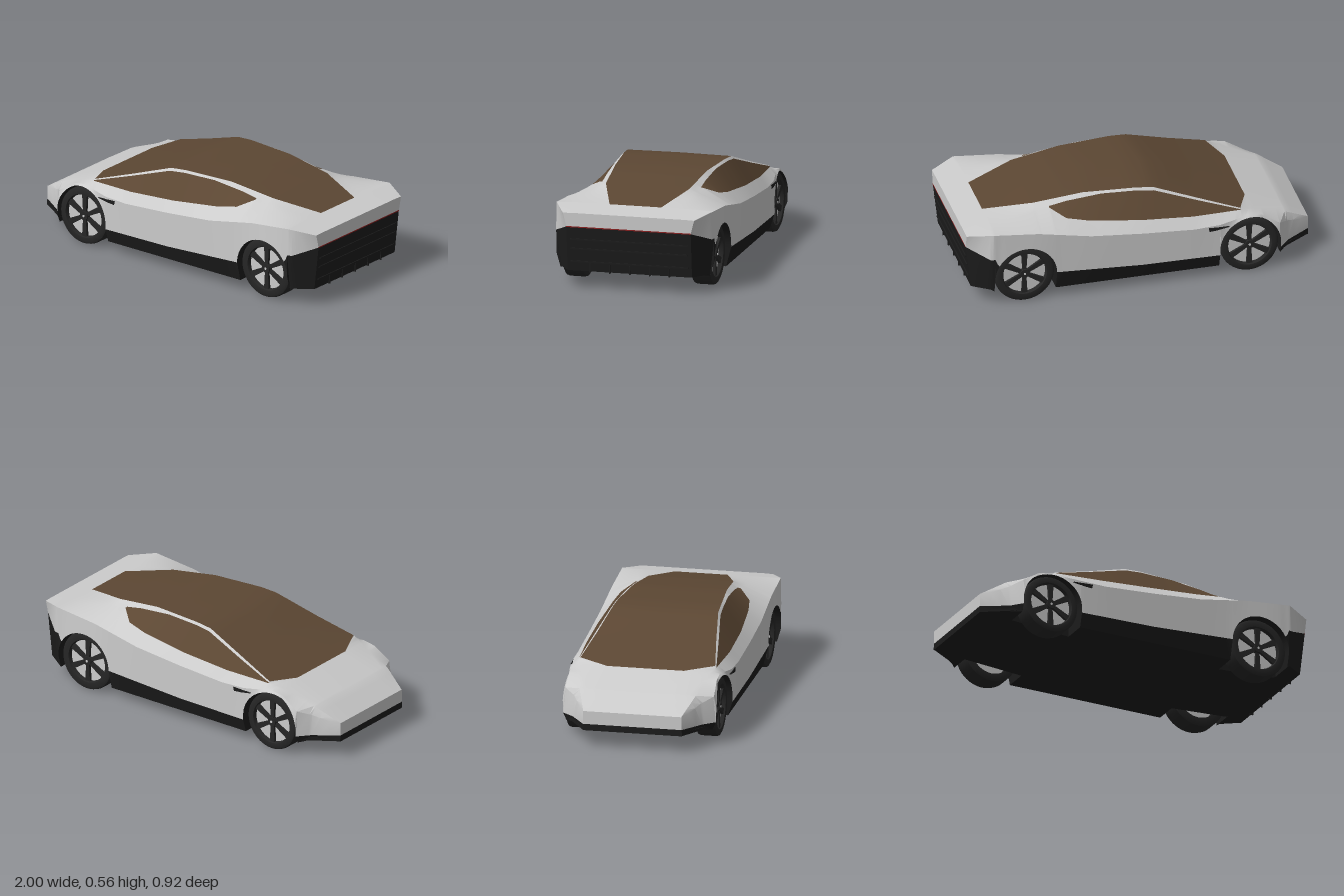
import * as THREE from 'three';
import { mergeGeometries, toCreasedNormals } from 'three/addons/utils/BufferGeometryUtils.js';

const silver = new THREE.MeshStandardMaterial({ color: 0xcccccc });
const glass = new THREE.MeshStandardMaterial({ color: 0x5c4733 });
const black = new THREE.MeshStandardMaterial({ color: 0x1c1c1c });
const rubber = new THREE.MeshStandardMaterial({ color: 0x262626 });
const red = new THREE.MeshStandardMaterial({ color: 0x8a2020 });

// Long lines of the body, each as [x, half width z, height y]; the nose is at -x
const LINES = {
  centre: [[-1, 0, .21], [-.86, 0, .295], [-.65, 0, .37], [-.4, 0, .455], [-.2, 0, .525], [-.1, 0, .55], [0, 0, .56],
    [.2, 0, .56], [.4, 0, .545], [.58, 0, .518], [.85, 0, .463], [1, 0, .437]],
  glassEdge: [[-1, .18, .21], [-.86, .2, .295], [-.65, .22, .37], [-.58, .385, .388], [-.35, .342, .462], [-.1, .3, .547],
    [0, .293, .555], [.3, .265, .553], [.58, .243, .515], [.85, .15, .463], [1, .15, .437]],
  rail: [[-1, .25, .21], [-.86, .29, .295], [-.65, .365, .363], [-.58, .392, .383], [-.35, .355, .453], [-.1, .313, .533],
    [0, .306, .543], [.2, .292, .545], [.4, .286, .524], [.5, .285, .505], [.58, .275, .5], [.85, .25, .463], [1, .25, .437]],
  belt: [[-1, .28, .21], [-.86, .33, .29], [-.65, .38, .36], [-.58, .394, .38], [-.3, .41, .387], [0, .408, .408],
    [.3, .388, .44], [.42, .368, .462], [.5, .3, .503], [.58, .3, .492], [.85, .36, .463], [1, .33, .437]],
  shoulder: [[-1, .282, .2], [-.86, .36, .25], [-.8, .425, .28], [-.7, .42, .345], [-.625, .42, .357], [-.45, .453, .335],
    [-.3, .458, .33], [0, .46, .35], [.3, .46, .378], [.6, .455, .435], [.86, .453, .461], [1, .38, .435]],
  panelEdge: [[-1, .282, .135], [-.86, .37, .13], [-.8, .44, .13], [-.7, .425, .14], [-.45, .455, .14], [0, .458, .147],
    [.5, .46, .175], [.8, .46, .18], [.853, .457, .305], [.88, .452, .305], [1, .36, .357]],
  sill: [[-1, .285, .1], [-.86, .36, .1], [-.8, .42, .085], [-.45, .43, .06], [.5, .43, .06], [.84, .435, .08],
    [.87, .43, .1], [1, .36, .1]],
};
const NAMES = Object.keys(LINES);
const WHEELS = [{ x: -.625, r: .167 }, { x: .675, r: .172 }];
const ARCH = .178;

function at(line, x) {
  let i = 1;
  while (i < line.length - 1 && line[i][0] < x) i++;
  const a = line[i - 1], b = line[i], t = (x - a[0]) / (b[0] - a[0]);
  return [a[1] + (b[1] - a[1]) * t, a[2] + (b[2] - a[2]) * t];
}

// Half cross-section from the roof centre round to the floor centre, cut by the wheel arches
function section(x) {
  const pts = NAMES.map((n) => new THREE.Vector3(x, at(LINES[n], x)[1], at(LINES[n], x)[0]));
  const low = pts[6];
  if (x > .87) low.x = .87 + (x - .87) * .77;
  const floorY = low.y, innerZ = Math.min(.29, low.z);
  for (const w of WHEELS) {
    const d = x - w.x;
    if (Math.abs(d) >= ARCH) continue;
    const y = w.r + Math.sqrt(ARCH * ARCH - d * d);
    pts[5].y = Math.max(pts[5].y, y);
    low.y = Math.max(low.y, y);
    low.z = pts[5].z;
  }
  pts.push(new THREE.Vector3(low.x, low.y, innerZ), new THREE.Vector3(low.x, floorY, innerZ), new THREE.Vector3(low.x, floorY, 0));
  return pts;
}

function stations() {
  const xs = Object.values(LINES).flat().map((p) => p[0]);
  for (let i = 0; i <= 40; i++) xs.push(-1 + i * .05);
  for (const w of WHEELS) {
    for (let i = 0; i <= 24; i++) xs.push(w.x - Math.cos(i / 24 * Math.PI) * ARCH * .9999);
    xs.push(w.x - ARCH * 1.0005, w.x + ARCH * 1.0005);
  }
  return xs.sort((a, b) => a - b).filter((x, i, all) => i === 0 || x - all[i - 1] > 1e-5);
}

function fromTriangles(tris, crease = .45) {
  const geo = new THREE.BufferGeometry();
  geo.setAttribute('position', new THREE.Float32BufferAttribute(tris.flatMap((p) => [p.x, p.y, p.z]), 3));
  return toCreasedNormals(geo, crease);
}

// Both mirrored halves of a quad
function addQuad(out, a, b, c, d) {
  const m = (p) => new THREE.Vector3(p.x, p.y, -p.z);
  for (const [p, q, r] of [[a, b, c], [a, c, d]]) {
    const area = q.clone().sub(p).cross(r.clone().sub(p)).length();
    if (area > 1e-8) out.push(p, q, r, m(p), m(r), m(q));
  }
}

function wheel(radius) {
  const g = new THREE.Group();
  const part = (name, geo, mat, z = 0) => {
    const mesh = new THREE.Mesh(geo, mat);
    mesh.name = name;
    mesh.position.z = z;
    g.add(mesh);
    return mesh;
  };
  // Lathe axis turned from y to z
  const profile = [[.122, -.06], [radius - .015, -.06], [radius - .004, -.054], [radius, -.042], [radius, .042],
    [radius - .004, .054], [radius - .015, .06], [.128, .058], [.122, .045], [.122, -.06]];
  const tyre = new THREE.LatheGeometry(profile.map((p) => new THREE.Vector2(...p)), 48).rotateX(Math.PI / 2);
  part('tyre', toCreasedNormals(tyre, .6), new THREE.MeshStandardMaterial({ color: 0x262626, side: THREE.DoubleSide }));
  part('rimDisc', new THREE.CylinderGeometry(.124, .124, .02, 40).rotateX(Math.PI / 2), silver, .025);
  part('hub', new THREE.CylinderGeometry(.026, .03, .03, 20).rotateX(Math.PI / 2), rubber, .042);
  part('hubCap', new THREE.CylinderGeometry(.007, .007, .004, 12).rotateX(Math.PI / 2), silver, .058);
  // Six tapered spokes
  const spoke = new THREE.Shape([[-.01, .015], [.01, .015], [.017, .124], [-.017, .124]].map((p) => new THREE.Vector2(...p)));
  for (let i = 0; i < 6; i++) {
    const s = new THREE.ExtrudeGeometry(spoke, { depth: .016, bevelEnabled: false });
    part('spoke', s, rubber, .034).rotation.z = i * Math.PI / 3;
  }
  return g;
}

export function createModel() {
  const model = new THREE.Group();
  const add = (name, geo, mat, x = 0, y = 0, z = 0) => {
    const mesh = new THREE.Mesh(geo, mat);
    mesh.name = name;
    mesh.position.set(x, y, z);
    model.add(mesh);
    return mesh;
  };

  // Body shell, sorted into painted panels, glass and dark lower trim
  const xs = stations(), rings = xs.map(section);
  const panels = [], canopy = [], sideGlass = [], lower = [];
  for (let i = 0; i < xs.length - 1; i++) {
    const mid = (xs[i] + xs[i + 1]) / 2;
    for (let k = 0; k < 9; k++) {
      let out = k < 5 ? panels : lower;
      if (k === 0 && mid > -.65 && mid < .85) out = canopy;
      if (k === 2 && mid > -.58 && mid < .5) out = sideGlass;
      addQuad(out, rings[i][k], rings[i][k + 1], rings[i + 1][k + 1], rings[i + 1][k]);
    }
  }
  // Nose and tail faces
  for (const [ring, tail] of [[rings[0], false], [rings[rings.length - 1], true]]) {
    for (let k = 0; k < 6; k++) {
      const a = ring[k], b = ring[k + 1];
      const a0 = a.clone().setZ(0), b0 = b.clone().setZ(0);
      const out = k < 5 ? panels : lower;
      if (tail) addQuad(out, a0, a, b, b0);
      else addQuad(out, a0, b0, b, a);
    }
  }
  add('bodyPanels', fromTriangles(panels), silver);
  add('canopyGlass', fromTriangles(canopy), glass);
  add('sideWindows', fromTriangles(sideGlass), glass);
  add('lowerBody', fromTriangles(lower), black);

  // Front splitter
  const lip = new THREE.Shape([[-1, -.28], [-.86, -.37], [-.8, -.42], [-.8, .42], [-.86, .37], [-1, .28]].map((p) => new THREE.Vector2(...p)));
  add('frontSplitter', new THREE.ExtrudeGeometry(lip, { depth: .016, bevelEnabled: false }).rotateX(Math.PI / 2), black, 0, .114);

  // Tail light strip, rear ribs and diffuser fins
  add('tailLight', new THREE.BoxGeometry(.006, .006, .72), red, .998, .357);
  for (const y of [.285, .23, .155]) {
    add('rearRib', new THREE.BoxGeometry(.012, .008, .68), black, .97 + (y - .1) * .115, y);
  }
  const fins = [-.23, -.115, 0, .115, .23].map((z) => new THREE.BoxGeometry(.02, .05, .006).translate(.968, .12, z));
  add('diffuserFins', mergeGeometries(fins), black);

  for (const side of [1, -1]) {
    // Dark vent behind each front wheel arch
    const vent = new THREE.Shape([[-.5, .318], [-.38, .325], [-.385, .302], [-.43, .306]].map((p) => new THREE.Vector2(...p)));
    add('sideVent', new THREE.ExtrudeGeometry(vent, { depth: .01, bevelEnabled: false }), black, 0, 0, side > 0 ? .449 : -.459);
    for (const w of WHEELS) {
      const g = wheel(w.r);
      g.name = w.x < 0 ? 'frontWheel' : 'rearWheel';
      g.position.set(w.x, w.r, side * .37);
      if (side < 0) g.rotation.y = Math.PI;
      model.add(g);
    }
  }
  return model;
}
